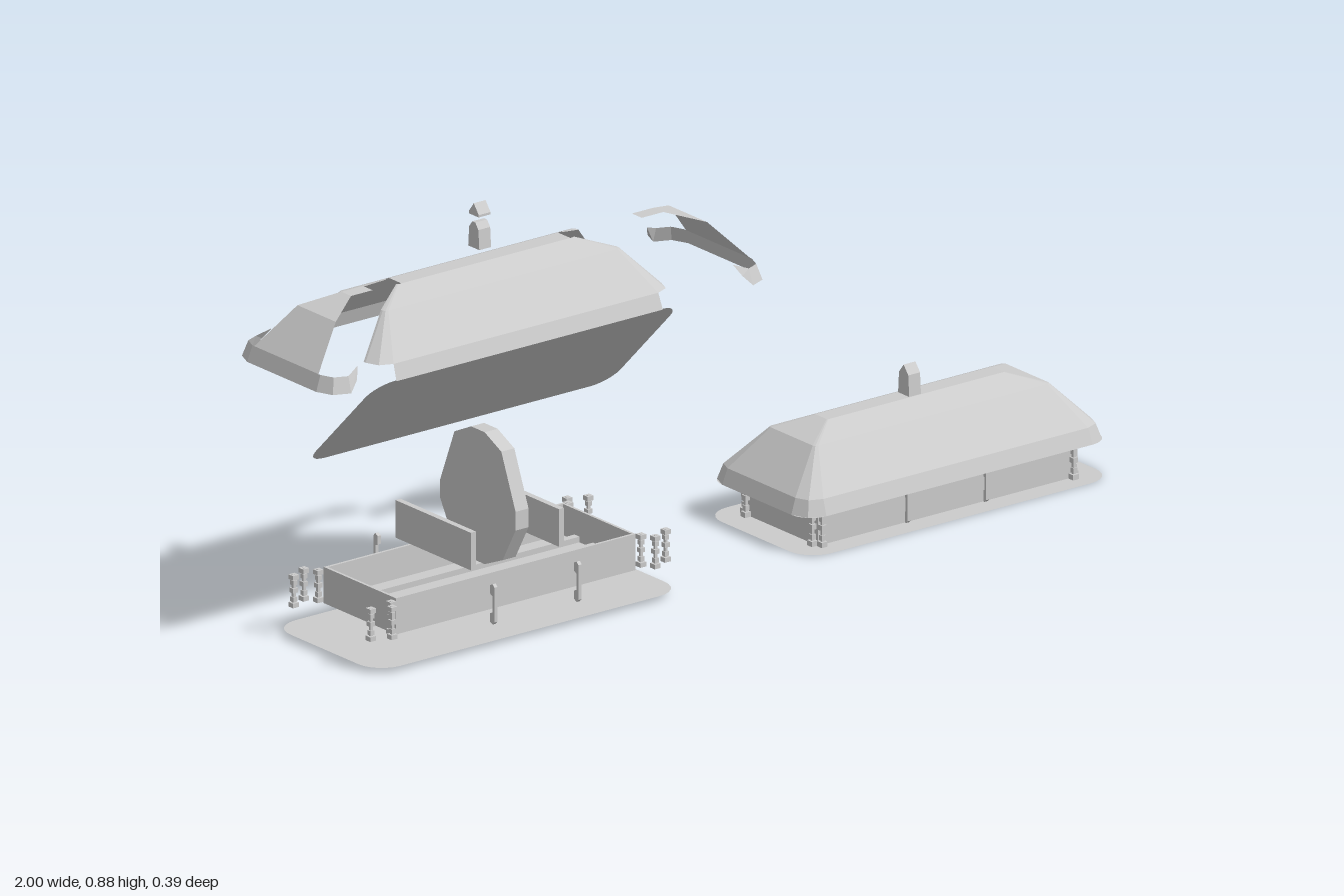
import * as THREE from 'three';

const mat = new THREE.MeshStandardMaterial({ color: 0xcccccc, flatShading: true, side: THREE.DoubleSide });

function add(parent, name, geo, x = 0, y = 0, z = 0) {
  const m = new THREE.Mesh(geo, mat);
  m.name = name;
  m.position.set(x, y, z);
  parent.add(m);
  return m;
}
const box = (p, name, w, h, d, x, y, z) => add(p, name, new THREE.BoxGeometry(w, h, d), x, y, z);

// Geometry from a list of quads, each of four corners
function quads(list) {
  const pos = [];
  for (const [a, b, c, d] of list) for (const v of [a, b, c, a, c, d]) pos.push(...v);
  const g = new THREE.BufferGeometry();
  g.setAttribute('position', new THREE.Float32BufferAttribute(pos, 3));
  g.computeVertexNormals();
  return g;
}

// Rounded rectangle loop with n segments per corner
function loop(hx, hz, r, y, n = 2) {
  const out = [];
  for (let k = 0; k < 4; k++) {
    const sx = k === 0 || k === 3 ? 1 : -1, sz = k < 2 ? 1 : -1;
    for (let j = 0; j <= n; j++) {
      const a = (k + j / n) * Math.PI / 2;
      out.push([sx * (hx - r) + r * Math.cos(a), y, sz * (hz - r) + r * Math.sin(a)]);
    }
  }
  return out;
}

// Flat rounded sheet lying in the xz plane, optionally with a rectangular hole
function sheet(hx, hz, r, hole) {
  const s = new THREE.Shape(loop(hx, hz, r, 0, 6).map(p => new THREE.Vector2(p[0], p[2])));
  if (hole) {
    const [a, b] = hole;
    s.holes.push(new THREE.Path([[-a, -b], [-a, b], [a, b], [a, -b]].map(p => new THREE.Vector2(...p))));
  }
  return new THREE.ShapeGeometry(s).rotateX(-Math.PI / 2);
}

// Outline in (z, y), extruded along x and centred on x = 0
function extrudeX(points, depth) {
  const s = new THREE.Shape(points.map(p => new THREE.Vector2(...p)));
  return new THREE.ExtrudeGeometry(s, { depth, bevelEnabled: false })
    .translate(0, 0, -depth / 2).rotateY(-Math.PI / 2);
}

// Roof levels: half length, half depth, corner radius, height
const LEVELS = [[0.389, 0.162, 0.05, 0], [0.377, 0.15, 0.04, 0.033], [0.3, 0.076, 0.008, 0.115], [0.225, 0.02, 0.003, 0.14]];
const CUT = [0.112, 0.104, 0.062, 0.016];
const rings = LEVELS.map(l => loop(...l));
const bandQuad = (b, i) => {
  const j = (i + 1) % 12, lo = rings[b], up = rings[b + 1];
  return [lo[i], up[i], up[j], lo[j]];
};
const endPoint = (l, s, z) => [s * LEVELS[l][0], LEVELS[l][3], z];
const topQuad = (x0, x1) => [[x0, 0.14, 0.02], [x1, 0.14, 0.02], [x1, 0.14, -0.02], [x0, 0.14, -0.02]];

function wholeRoof() {
  const list = [topQuad(-0.225, 0.225)];
  for (let b = 0; b < 3; b++) for (let i = 0; i < 12; i++) list.push(bandQuad(b, i));
  return quads(list);
}

// Roof body with both ends cut away
function cutRoof() {
  const list = [topQuad(-0.215, 0.215), bandQuad(0, 2), bandQuad(0, 8)];
  for (let b = 1; b < 3; b++) {
    for (let i = 0; i < 12; i++) if (i !== 5 && i !== 11) list.push(bandQuad(b, i));
    for (const s of [1, -1]) for (const t of [1, -1]) {
      const edge = l => LEVELS[l][1] - LEVELS[l][2];
      const q = [endPoint(b, s, t * CUT[b]), endPoint(b + 1, s, t * CUT[b + 1]),
        endPoint(b + 1, s, t * edge(b + 1)), endPoint(b, s, t * edge(b))];
      list.push(s * t > 0 ? q : q.reverse());
    }
  }
  return quads(list);
}

// End piece that fits the cut, with a hook along each side; s picks the end
function roofEnd(s) {
  const neck = [[0.17, 0.14, 0.016], [0.225, 0.14, 0.016], [0.225, 0.14, -0.016], [0.17, 0.14, -0.016]];
  const list = [s > 0 ? neck : neck.map(([x, y, z]) => [-x, y, z]).reverse()];
  for (const i of s > 0 ? [9, 10, 11, 0, 1] : [3, 4, 5, 6, 7]) list.push(bandQuad(0, i));
  for (let b = 1; b < 3; b++) {
    const q = [endPoint(b, s, -CUT[b]), endPoint(b + 1, s, -CUT[b + 1]), endPoint(b + 1, s, CUT[b + 1]), endPoint(b, s, CUT[b])];
    list.push(s > 0 ? q : q.reverse());
  }
  for (const t of [1, -1]) {
    const hook = [[s * 0.339, 0, t * 0.162], [s * 0.337, 0.033, t * 0.15], [s * 0.305, 0.045, t * 0.139], [s * 0.318, 0.022, t * 0.154]];
    list.push(s * t > 0 ? hook.reverse() : hook);
  }
  return quads(list);
}

// Four thin walls standing on y
function walls(p, hx, hz, y, h) {
  for (const s of [1, -1]) {
    box(p, 'longWall', 2 * hx, h, 0.006, 0, y + h / 2, s * (hz - 0.003));
    box(p, 'endWall', 0.006, h, 2 * hz - 0.012, s * (hx - 0.003), y + h / 2, 0);
  }
}

// Slender post with blocks at foot, middle and head
function column(p, x, y, z, h) {
  const g = new THREE.Group();
  g.name = 'cornerColumn';
  box(g, 'shaft', 0.006, h, 0.006, 0, h / 2, 0);
  for (const [t, w] of [[0.08, 0.015], [0.25, 0.01], [0.52, 0.012], [0.75, 0.01], [0.92, 0.015]])
    box(g, 'collar', w, h * 0.14, w, 0, h * t, 0);
  g.position.set(x, y, z);
  p.add(g);
}

// Flat wall post with a lip at each end, facing s along z
function wallPost(p, x, y, z, s, h) {
  const g = new THREE.Group();
  g.name = 'wallPost';
  const e = h / 2;
  const outline = [[0, -e + 0.006], [0.006, -e], [0.014, -e + 0.004], [0.014, -e + 0.022], [0.006, -e + 0.026],
    [0.006, e - 0.026], [0.014, e - 0.022], [0.014, e - 0.004], [0.006, e], [0, e - 0.006]];
  add(g, 'post', extrudeX(outline.map(q => [q[0] - 0.007, q[1]]), 0.008));
  g.rotation.y = s > 0 ? Math.PI : 0;
  g.position.set(x, y + e, z);
  p.add(g);
}

const FINIAL = [[-0.018, 0], [0.018, 0], [0.015, 0.045], [0, 0.064], [-0.015, 0.045]];

function assembled() {
  const g = new THREE.Group();
  g.name = 'assembledPavilion';
  add(g, 'basePlate', sheet(0.39, 0.17, 0.06, [0.32, 0.115]), 0, 0.001, -0.003);
  walls(g, 0.325, 0.117, 0, 0.08);
  for (const s of [1, -1]) for (const t of [1, -1]) {
    column(g, s * 0.32, 0, t * 0.125, 0.08);
    column(g, s * 0.332, 0, t * 0.108, 0.08);
    wallPost(g, s * 0.1, 0, t * 0.119, t, 0.08);
  }
  add(g, 'eaves', sheet(0.389, 0.162, 0.05, [0.32, 0.115]), 0, 0.08, 0);
  add(g, 'roof', wholeRoof(), 0, 0.08, 0);
  add(g, 'finial', extrudeX(FINIAL, 0.03), 0, 0.22, 0);
  g.position.set(0.607, 0, -0.001);
  return g;
}

function exploded() {
  const g = new THREE.Group();
  g.name = 'explodedPavilion';
  // Ground plate, with low walls and inner fittings lifted above it
  add(g, 'basePlate', sheet(0.39, 0.17, 0.06), 0, 0.012, -0.007);
  walls(g, 0.305, 0.117, 0.06, 0.077);
  box(g, 'floor', 0.59, 0.01, 0.22, 0, 0.068, 0);
  for (const z of [-0.06, 0, 0.06]) box(g, 'floorRail', 0.59, 0.012, 0.016, 0, 0.079, z);
  for (const s of [1, -1]) {
    box(g, 'crossPanel', 0.013, 0.08, 0.244, s * 0.112, 0.196, 0);
    for (const t of [1, -1]) {
      column(g, s * 0.375, 0.065, t * 0.125, 0.07);
      column(g, s * 0.335, 0.065, t * 0.143, 0.07);
      column(g, s * 0.318, 0.065, t * 0.118, 0.07);
      wallPost(g, s * 0.107 + 0.004, 0.054, t * 0.189 - 0.012, t, 0.086);
    }
  }
  // Faceted upright wheel
  const half = [[0.022, 0.396], [0.076, 0.37], [0.122, 0.255], [0.122, 0.215], [0.08, 0.14], [0.022, 0.115]];
  add(g, 'wheel', extrudeX([...half, ...half.map(p => [-p[0], p[1]]).reverse()], 0.033), 0.012, 0, 0);
  // Ceiling sheet tipped under the roof
  add(g, 'ceilingSheet', sheet(0.388, 0.163, 0.05), 0, 0.505, 0.043).rotation.x = -Math.PI / 4;
  // Roof body and its pulled-off ends
  add(g, 'roof', cutRoof(), 0, 0.62, 0);
  add(g, 'roofEndLeft', roofEnd(1), 0.23, 0.62, 0);
  add(g, 'roofEndRight', roofEnd(-1), -0.115, 0.62, 0);
  // Finial in two pieces
  add(g, 'finialStem', extrudeX([[-0.018, 0], [0.018, 0], [0.015, 0.042], [0.005, 0.055], [-0.005, 0.055], [-0.015, 0.042]], 0.03), 0, 0.785, 0);
  add(g, 'finialTip', extrudeX([[-0.016, 0], [0.016, 0], [0.016, 0.005], [0, 0.026], [-0.016, 0.005]], 0.03), 0, 0.854, 0);
  g.position.set(-0.4975, 0, 0.012);
  return g;
}

export function createModel() {
  const root = new THREE.Group();
  root.name = 'pavilionPair';
  root.add(assembled(), exploded());
  return root;
}
